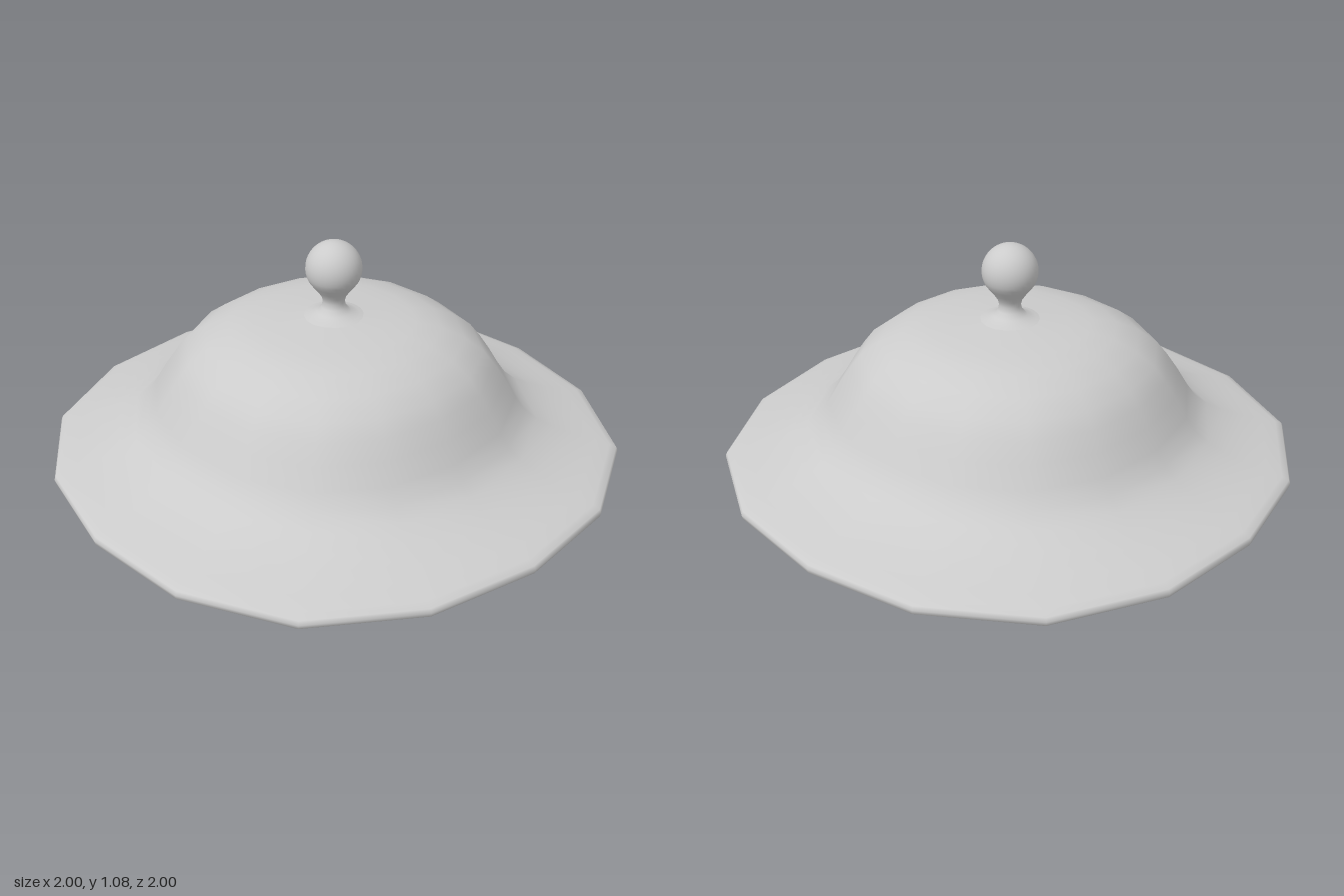
import * as THREE from 'three';
import { mergeVertices } from 'three/addons/utils/BufferGeometryUtils.js';

const material = new THREE.MeshStandardMaterial({ color: 0xcccccc });

// Turned part from a [radius, height] profile listed bottom to top.
// The 16-sided parts swell slightly towards the diagonals.
function turned(name, profile, segments, swell) {
  const points = profile.map(([r, y]) => new THREE.Vector2(r, y));
  let geometry = new THREE.LatheGeometry(points, segments);
  const pos = geometry.attributes.position;
  for (let i = 0; i < pos.count; i++) {
    const x = pos.getX(i), z = pos.getZ(i);
    const s = 1 + swell * (1 - Math.cos(4 * Math.atan2(z, x))) / 2;
    pos.setX(i, x * s);
    pos.setZ(i, z * s);
  }
  // Weld the seam so the shading is smooth all round
  geometry.deleteAttribute('uv');
  geometry.deleteAttribute('normal');
  geometry = mergeVertices(geometry, 1e-4);
  geometry.computeVertexNormals();
  const mesh = new THREE.Mesh(geometry, material);
  mesh.name = name;
  return mesh;
}

export function createModel() {
  const group = new THREE.Group();
  group.name = 'domedLid';

  // Plug under the lid, with a rounded lower edge and a small fillet on top
  group.add(turned('base', [
    [0, 0], [0.3, 0.003], [0.52, 0.007], [0.55, 0.01], [0.57, 0.02], [0.576, 0.035],
    [0.577, 0.06], [0.577, 0.24], [0.579, 0.258], [0.59, 0.27], [0.62, 0.278],
  ], 16, 0.034));

  // Wide brim with a rolled edge, rising into the dome
  group.add(turned('brimAndDome', [
    [0.58, 0.279], [0.64, 0.279], [0.95, 0.28], [0.985, 0.282], [0.997, 0.29], [1, 0.305],
    [0.994, 0.318], [0.97, 0.328], [0.92, 0.341], [0.84, 0.363], [0.77, 0.39],
    [0.71, 0.42], [0.665, 0.457], [0.63, 0.507], [0.59, 0.575], [0.55, 0.635],
    [0.51, 0.687], [0.445, 0.735], [0.365, 0.772], [0.28, 0.788], [0.2, 0.796],
    [0.09, 0.806], [0, 0.812],
  ], 16, 0.034));

  // Ball knob on a flared neck
  const knob = [
    [0.13, 0.799], [0.09, 0.808], [0.06, 0.82], [0.043, 0.838], [0.038, 0.858],
    [0.043, 0.878], [0.058, 0.9], [0.076, 0.922],
  ];
  for (let i = 0; i <= 14; i++) {
    const a = THREE.MathUtils.lerp(-0.45, Math.PI / 2, i / 14);
    knob.push([i === 14 ? 0 : 0.098 * Math.cos(a), 0.982 + 0.098 * Math.sin(a)]);
  }
  group.add(turned('knob', knob, 32, 0));

  return group;
}
